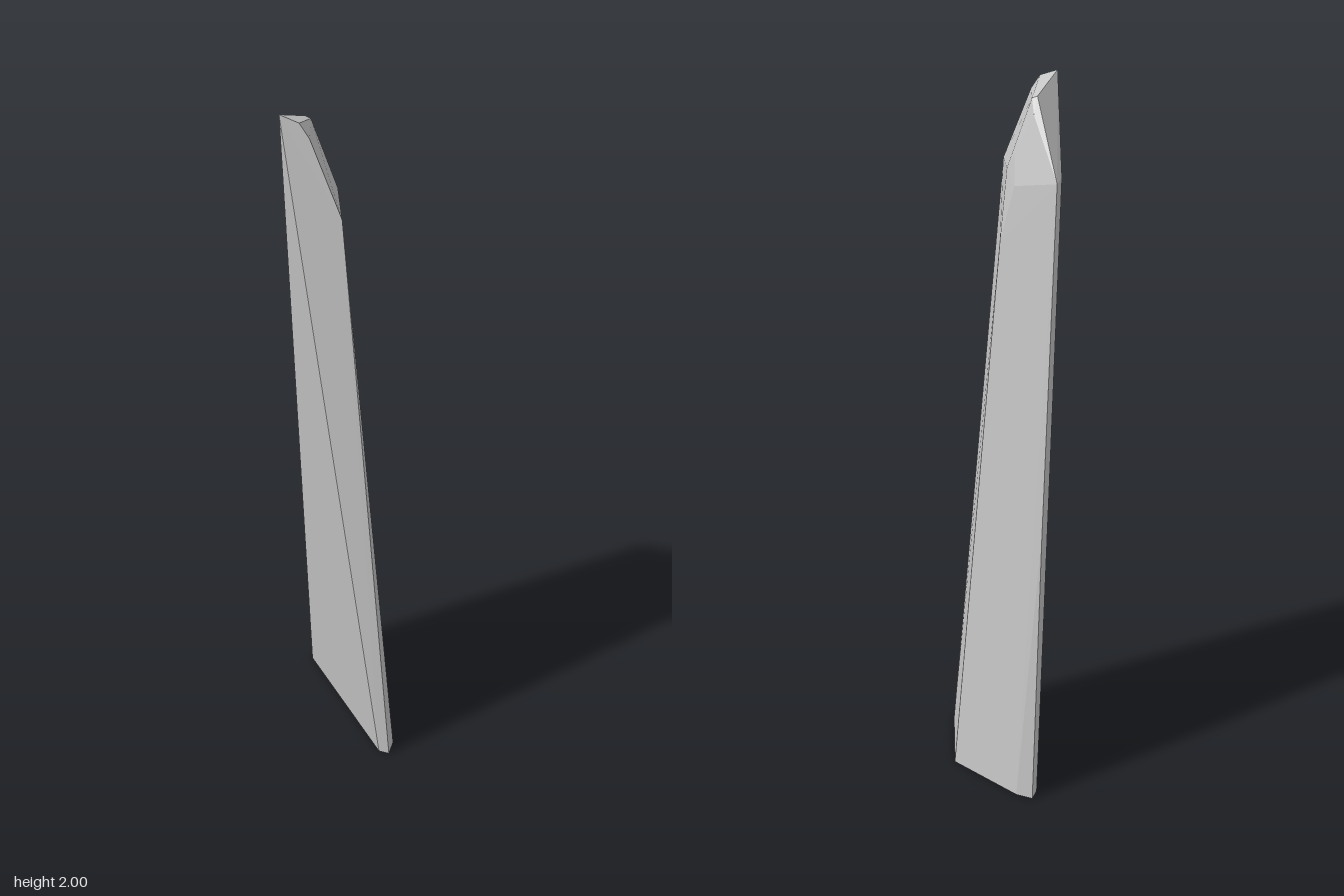
import * as THREE from 'three';
import { ConvexGeometry } from 'three/addons/geometries/ConvexGeometry.js';

const stone = new THREE.MeshStandardMaterial({ color: 0xc4c4c4, flatShading: true });
stone.name = 'pale grey stone';

export function createModel() {
  const model = new THREE.Group();
  model.name = 'standingStone';

  // Foot: thin wedge with a blunt corner at each end
  const foot = [
    [-0.19, 0, -0.18], [-0.19, 0, -0.22], [-0.14, 0, -0.217], [0.09, 0, -0.12],
    [0.185, 0, 0.11], [0.187, 0, 0.16], [0.155, 0, 0.16],
  ];
  // Shaft: slight swell on the side, and the shoulders where the chipped top begins
  const shaft = [
    [-0.19, 0.8, -0.16], [-0.19, 1.74, -0.07], [-0.19, 1.75, -0.03],
    [-0.015, 1.57, -0.015], [-0.055, 1.72, -0.015], [-0.02, 1.76, 0.025], [0.06, 1.76, 0.22],
  ];
  // Crown: leaning tip and its chipped bevels
  const crown = [
    [-0.095, 2, 0.22], [-0.045, 1.985, 0.22], [-0.02, 1.95, 0.22],
    [-0.095, 1.945, 0.05], [-0.08, 1.94, 0.05], [-0.055, 1.9, 0.08],
    [-0.045, 1.8, 0.015], [-0.095, 1.9, 0.022],
  ];

  const points = [...foot, ...shaft, ...crown].map((p) => new THREE.Vector3(...p));
  const rock = new THREE.Mesh(new ConvexGeometry(points), stone);
  rock.name = 'stoneShard';
  model.add(rock);
  return model;
}
